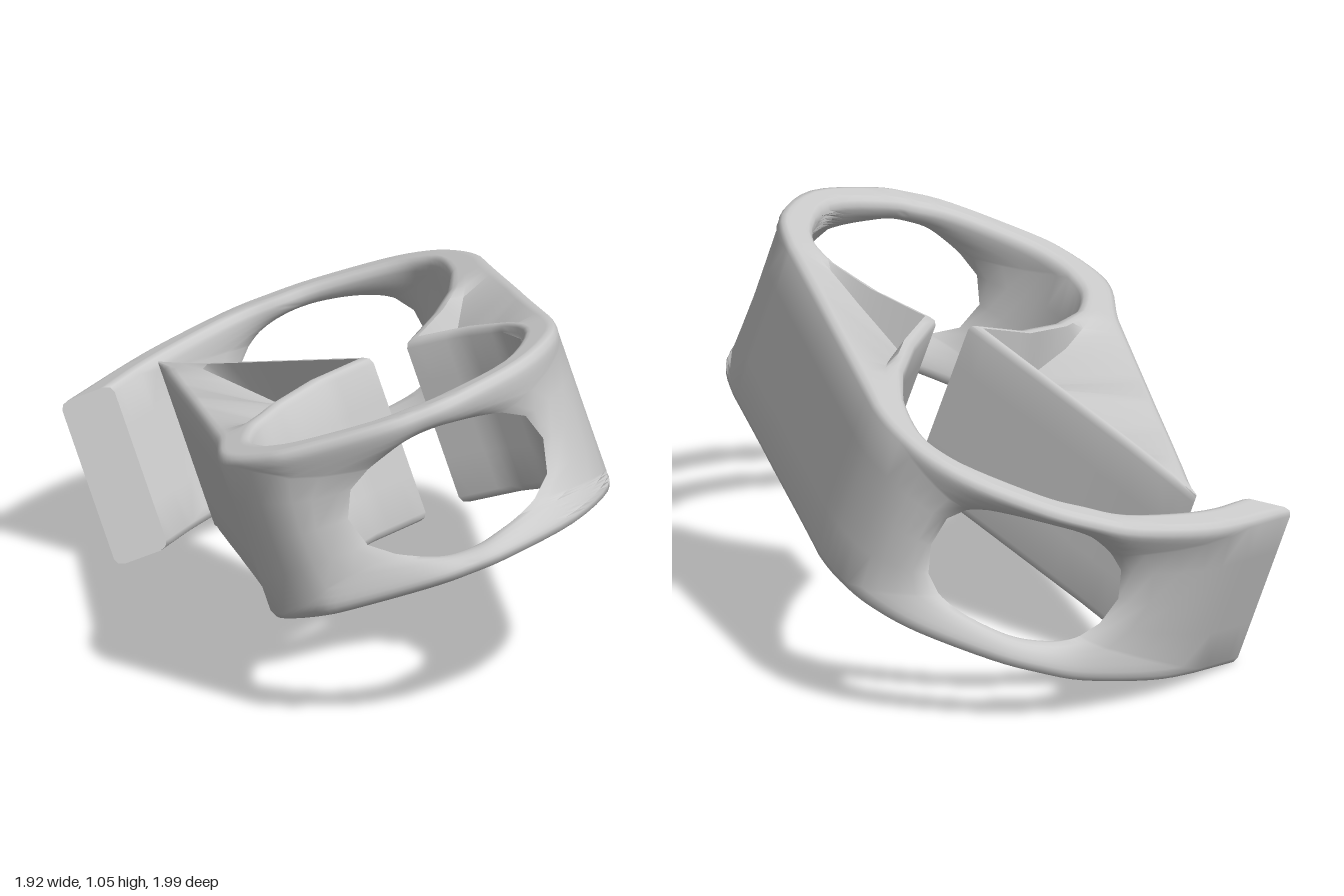
import * as THREE from 'three';
import { mergeGeometries, toCreasedNormals } from 'three/addons/utils/BufferGeometryUtils.js';

// Plan of the open band at its lower edge: [outer x, outer z, inner x, inner z]
const PLAN = [
  [-.03, -.84, .08, -.735], [.19, -.845, .22, -.74], [.40, -.83, .38, -.725],
  [.65, -.76, .61, -.67], [.765, -.68, .71, -.59], [.855, -.58, .785, -.51],
  [.945, -.39, .86, -.33], [.958, -.25, .865, -.22], [.92, -.12, .82, -.12],
  [.815, .04, .665, .03], [.6, .262, .49, .14], [.4, .469, .28, .235],
  [.3, .572, .035, .32], [.2, .676, .065, .48], [.08, .80, .05, .64],
  [-.1, .935, -.06, .80], [-.35, 1, -.33, .91], [-.6, .95, -.56, .86],
  [-.705, .89, -.645, .805], [-.79, .80, -.72, .73], [-.89, .58, -.79, .56],
  [-.905, .48, -.795, .46], [-.88, .35, -.765, .38], [-.815, .26, -.69, .29],
  [-.645, .13, -.54, .215], [-.45, -.05, -.38, .19], [-.3, -.19, -.2, .20],
  [-.2, -.283, -.06, .27], [-.05, -.424, .025, -.02], [.1, -.564, .14, -.4],
  [.23, -.68, .24, -.685],
];
const LAST = PLAN.length - 1;
const BEVEL = .045;

// Point in the band: s along it, t from lower to upper edge, k from outer to inner face
function at(s, t, k) {
  const i = Math.min(Math.floor(s), LAST - 1), f = s - i;
  const round = (i >= 1 && i <= 8) || (i >= 14 && i <= 23);
  const [ox, oz, ix, iz] = PLAN[i].map((b, j) => {
    const c = PLAN[i + 1][j];
    if (!round) return b + (c - b) * f;
    const m = (c - PLAN[i - 1][j]) / 2, n = (PLAN[i + 2][j] - b) / 2;
    return b + f * (m + f * (3 * (c - b) - 2 * m - n + f * (2 * (b - c) + m + n)));
  });
  const x = ox + (ix - ox) * k, z = oz + (iz - oz) * k;
  return new THREE.Vector3(x - .055 * t, .286 + .115 * x + .334 * z + .477 * t, z - .16 * t);
}

// Surface through rows of points
function grid(rows) {
  const n = rows[0].length, index = [];
  for (let r = 0; r < rows.length - 1; r++) {
    for (let c = 0; c < n - 1; c++) {
      const a = r * n + c, b = a + n;
      index.push(a, b, a + 1, b, b + 1, a + 1);
    }
  }
  const geo = new THREE.BufferGeometry().setFromPoints(rows.flat());
  geo.setIndex(index);
  return geo;
}

const steps = (a, b, count) => Array.from({ length: count + 1 }, (_, i) => a + (b - a) * i / count);

// Plain outer and inner faces between two stations
function walls(s0, s1) {
  const ts = steps(BEVEL, 1 - BEVEL, 4), ss = steps(s0, s1, (s1 - s0) * 4);
  return [
    grid(ss.map(s => ts.map(t => at(s, 1 - t, 0)))),
    grid(ss.map(s => ts.map(t => at(s, t, 1)))),
  ];
}

// Round end with a rounded opening whose lip draws in from both faces
function openEnd(s0, s1, centre, half, mid) {
  const lo = BEVEL, hi = 1 - BEVEL, n = (s1 - s0) * 4;
  const border = [
    ...steps(s0, s1, n).map(s => [s, hi]),
    ...steps(hi, lo, 4).slice(1).map(t => [s1, t]),
    ...steps(s1, s0, n).slice(1).map(s => [s, lo]),
    ...steps(lo, hi, 4).slice(1).map(t => [s0, t]),
  ];
  const profile = [[0, 0], [.2, .01], [.4, .05], [.6, .11], [.8, .2], [.94, .33], [1, .5],
    [.94, .68], [.8, .82], [.6, .91], [.4, .96], [.2, .99], [0, 1]];
  const bulge = v => Math.sign(v) * Math.abs(v) ** .85;
  return grid(border.map(([s, t]) => {
    const a = Math.atan2((t - mid) / .5, (s - centre) / (s1 - s0) * 2);
    const hs = centre + half * bulge(Math.cos(a)), ht = mid + .365 * bulge(Math.sin(a));
    return profile.map(([r, k]) => at(s + (hs - s) * r, t + (ht - t) * r, k));
  }));
}

// Section of a rounded edge; where the band thickens into a wedge it sinks into a pocket
function rimRow(s, upper) {
  const th = at(s, 0, 0).distanceTo(at(s, 0, 1));
  const dent = THREE.MathUtils.clamp((th - .16) * 1.2, 0, .33);
  const a = Math.min(.3, .04 / th), b = Math.min(.25, .025 / th);
  return [[0, BEVEL], [b * .3, BEVEL * .3], [b, 0], [a, 0], [1 - 1.5 * a, dent],
    [1 - a, 0], [1 - b, 0], [1 - b * .3, BEVEL * .3], [1, BEVEL]]
    .map(([k, d]) => at(s, upper ? 1 - d : d, k));
}

export function createModel() {
  const model = new THREE.Group();
  model.name = 'openBandClip';
  const material = new THREE.MeshStandardMaterial({ color: 0xcccccc, side: THREE.DoubleSide });
  const add = (name, geos) => {
    const mesh = new THREE.Mesh(toCreasedNormals(mergeGeometries(geos), 1), material);
    mesh.name = name;
    model.add(mesh);
  };
  const stations = steps(0, LAST, LAST * 4);

  // Side walls with an opening at each rounded end, joined by rounded edges
  add('band', [
    ...walls(0, 1), openEnd(1, 8, 4.55, 1.8, .515), ...walls(8, 14),
    openEnd(14, 22, 17.8, 1.9, .49), ...walls(22, LAST),
    grid(stations.map(s => rimRow(s, true).reverse())),
    grid(stations.map(s => rimRow(s, false))),
  ]);

  // Closing faces at the free end and at the wedge tip
  add('freeEnd', [grid([rimRow(0, false), rimRow(0, true)])]);
  add('wedgeTip', [grid([rimRow(LAST, true), rimRow(LAST, false)])]);
  return model;
}
